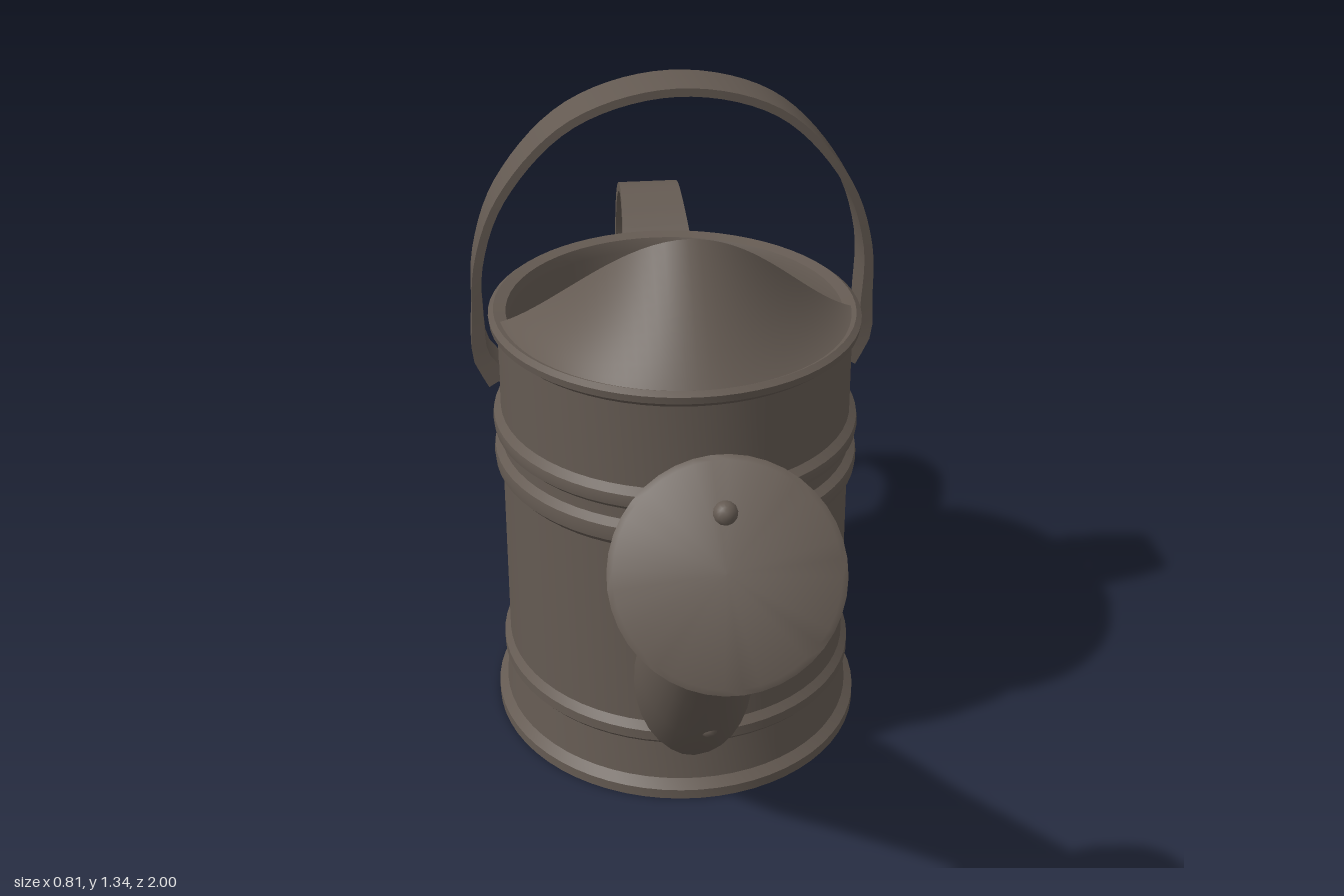
import * as THREE from 'three';
import { toCreasedNormals } from 'three/addons/utils/BufferGeometryUtils.js';
import { ParametricGeometry } from 'three/addons/geometries/ParametricGeometry.js';

const V = (x, y, z) => new THREE.Vector3(x, y, z);
const CZ = -0.235; // centre of the oval body

// Skin a list of equal-length rings and close both ends
function loft(rings, crease) {
  const n = rings[0].length, pos = [], idx = [];
  rings.forEach(r => r.forEach(p => pos.push(p.x, p.y, p.z)));
  for (let i = 0; i < rings.length - 1; i++) {
    for (let j = 0; j < n; j++) {
      const k = (j + 1) % n, a = i * n + j, b = i * n + k, c = b + n, d = a + n;
      idx.push(a, b, c, a, c, d);
    }
  }
  const last = (rings.length - 1) * n;
  for (let j = 1; j < n - 1; j++) idx.push(0, j + 1, j, last, last + j, last + j + 1);
  const g = new THREE.BufferGeometry();
  g.setAttribute('position', new THREE.Float32BufferAttribute(pos, 3));
  g.setIndex(idx);
  return toCreasedNormals(g, crease);
}

// Flat metal strap along a path; width and thickness vary with t
function strap(points, side, width, thickness, steps = 56) {
  const curve = new THREE.CatmullRomCurve3(points);
  const rings = [];
  for (let i = 0; i <= steps; i++) {
    const t = i / steps, p = curve.getPointAt(t);
    const up = side.clone().cross(curve.getTangentAt(t)).normalize();
    const w = width(t) / 2, h = thickness(t) / 2;
    rings.push([[1, 1], [-1, 1], [-1, -1], [1, -1]].map(([a, b]) =>
      p.clone().addScaledVector(up, a * h).addScaledVector(side, b * w)));
  }
  return loft(rings, 0.6);
}

export function createModel() {
  const group = new THREE.Group();
  const metal = new THREE.MeshStandardMaterial({ color: 0x645a52, side: THREE.DoubleSide });
  metal.name = 'dark tin';
  const add = (name, geo, parent = group) => {
    const m = new THREE.Mesh(geo, metal);
    m.name = name;
    parent.add(m);
    return m;
  };

  // Oval body with foot, raised bands, rolled rim and hollow inside
  const profile = [
    [0, 0.005], [1.08, 0.005], [1.08, 0.025], [1.03, 0.04], [1.01, 0.12], [1.035, 0.13], [1.035, 0.15],
    [1, 0.165], [1, 0.555], [1.04, 0.57], [1.045, 0.585], [1.04, 0.6], [1, 0.612],
    [1, 0.635], [1.04, 0.648], [1.045, 0.66], [1.04, 0.672], [1, 0.685],
    [1, 0.855], [1.045, 0.868], [1.05, 0.882], [1.02, 0.89], [0.95, 0.885], [0.93, 0.86], [0.93, 0.05], [0, 0.05],
  ].map(p => new THREE.Vector2(...p));
  const body = new THREE.LatheGeometry(profile, 64);
  body.scale(0.352, 1, 0.402).translate(0, 0, CZ);
  add('body', toCreasedNormals(body, 0.6));

  // Peaked hood over the front half, rising from the rim to a sloping cut edge
  const th = 1.46;
  const hood = new ParametricGeometry((u, v, out) => {
    const a = (u * 2 - 1) * th;
    const s = Math.sin(a) / Math.sin(th);
    const bell = Math.pow(Math.max(0, 0.5 + 0.5 * Math.cos(Math.PI * s)), 0.75);
    const rim = V(0.36 * Math.sin(a), 0.885, CZ + 0.413 * Math.cos(a));
    const edge = V(0.36 * s, 0.885 + 0.23 * bell, -0.19 + 0.19 * bell);
    out.copy(rim.lerp(edge, v));
  }, 48, 10);
  add('hood', hood);

  // Tapered spout: upper and lower outline (z, y) and half width
  const sections = [
    [0.08, 0.39, 0.165, 0.085, 0.105], [0.14, 0.43, 0.24, 0.14, 0.115], [0.21, 0.5, 0.37, 0.275, 0.11],
    [0.3, 0.57, 0.47, 0.4, 0.095], [0.43, 0.665, 0.57, 0.52, 0.077],
    [0.62, 0.82, 0.72, 0.69, 0.056], [0.74, 0.915, 0.82, 0.82, 0.047],
  ];
  const spoutRings = sections.map(([z1, y1, z2, y2, w], i) => {
    const c = V(-0.008 - 0.005 * i, (y1 + y2) / 2, (z1 + z2) / 2);
    const up = V(0, (y1 - y2) / 2, (z1 - z2) / 2);
    return Array.from({ length: 28 }, (_, j) => {
      const a = j / 28 * Math.PI * 2;
      return c.clone().add(V(w * Math.cos(a), 0, 0)).addScaledVector(up, Math.sin(a));
    });
  });
  add('spout', loft(spoutRings, 0.9));

  // Sprinkler rose on the spout end
  const rose = new THREE.Group();
  rose.name = 'rose';
  rose.position.set(-0.05, 0.935, 0.908);
  rose.quaternion.setFromUnitVectors(V(0, 1, 0), V(-0.13, 0.53, 0.84).normalize());
  group.add(rose);
  const rosePts = [[0, -0.2], [0.045, -0.2], [0.054, -0.15], [0.08, -0.105], [0.125, -0.06], [0.165, -0.03],
    [0.179, -0.018], [0.179, -0.004], [0.17, 0.002], [0, 0.008]].map(p => new THREE.Vector2(...p));
  add('roseHead', toCreasedNormals(new THREE.LatheGeometry(rosePts, 40), 0.7), rose);
  const nub = new THREE.SphereGeometry(0.02, 12, 8);
  add('roseNub', nub, rose).position.set(0.01, 0, -0.09);

  // Carrying handle arching over the top, thicker where it meets the body
  const half = [[0.352, 0.745, -0.28], [0.386, 0.8, -0.28], [0.389, 0.88, -0.275], [0.384, 1.0, -0.265],
    [0.335, 1.14, -0.255], [0.2, 1.285, -0.247]];
  const arch = [
    ...half.map(([x, y, z]) => V(-x, y, z + 0.015)),
    V(0, 1.336, -0.245),
    ...half.slice().reverse().map(([x, y, z]) => V(x, y, z - 0.01)),
  ];
  const ends = t => Math.pow(Math.abs(2 * t - 1), 8);
  add('topHandle', strap(arch, V(0, 0, 1),
    t => 0.125 - 0.045 * Math.pow(Math.abs(2 * t - 1), 2), t => 0.016 + 0.034 * ends(t)));

  // Rear handle loop with a tab lying on the back wall
  const loop = [[0.835, -0.63], [0.87, -0.665], [0.91, -0.735], [0.928, -0.82], [0.88, -0.92], [0.775, -0.98],
    [0.645, -0.98], [0.52, -0.93], [0.43, -0.82], [0.34, -0.695], [0.285, -0.648], [0.16, -0.645]]
    .map(([y, z]) => V(0.008, y, z));
  add('rearHandle', strap(loop, V(1, 0, 0),
    t => 0.125 + 0.03 * Math.pow(Math.abs(2 * t - 1), 4), () => 0.02));

  // Rivets on the spout and rear tab
  [[-0.005, 0.285, 0.362], [-0.02, 0.545, 0.57], [0.008, 0.185, -0.655], [0.008, 0.135, -0.645]].forEach(p => {
    add('rivet', new THREE.SphereGeometry(0.018, 12, 8)).position.set(...p);
  });

  return group;
}
